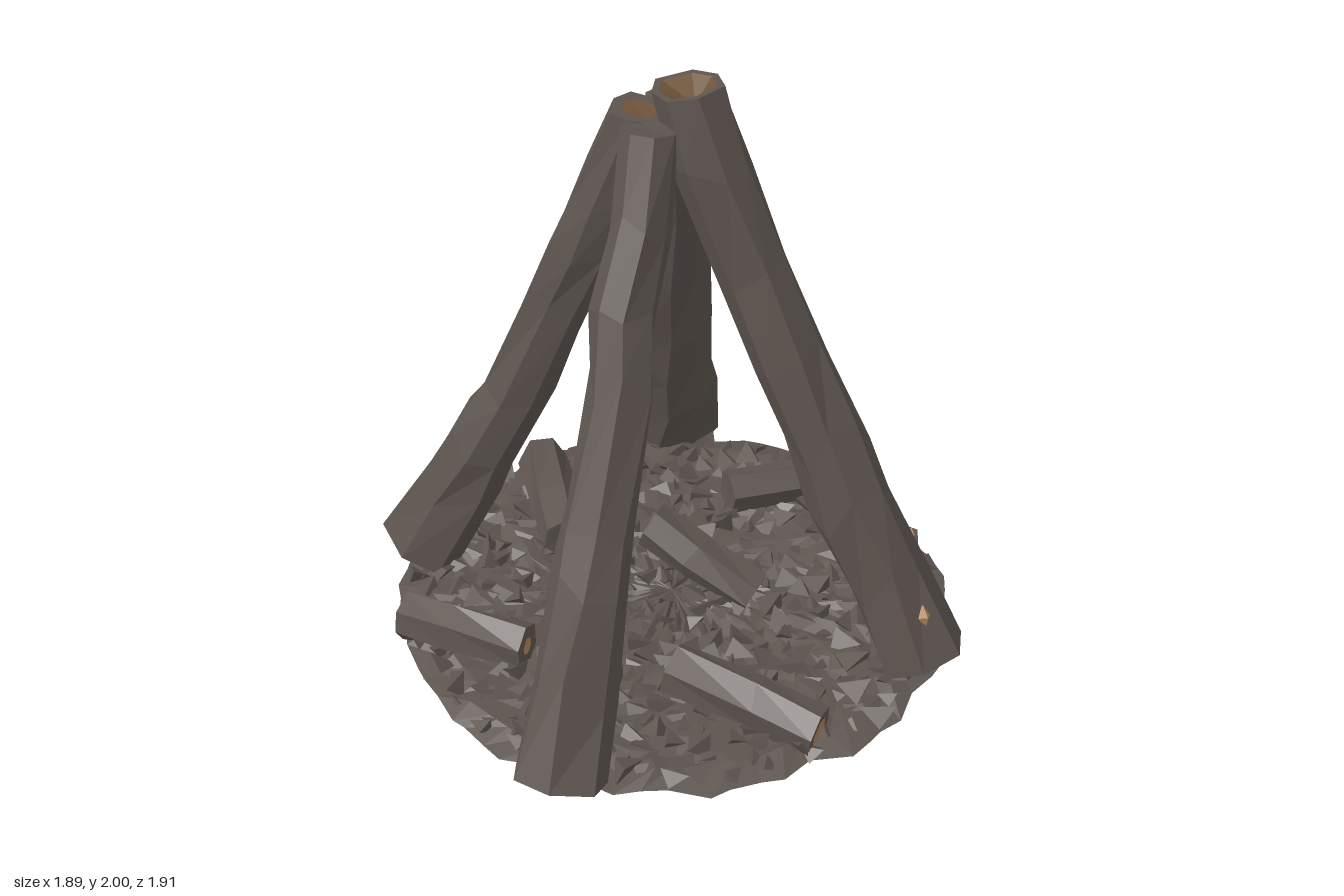
import * as THREE from 'three';
import { mergeGeometries } from 'three/addons/utils/BufferGeometryUtils.js';

const V = (a) => new THREE.Vector3(...a);

// Small seeded random generator
function makeRandom(seed) {
  let s = seed;
  return () => {
    s = (s * 16807) % 2147483647;
    return s / 2147483647;
  };
}

// Rough tapered log lofted from start to end.
// Group 0 is bark, group 1 the start cut, group 2 the end cut.
function logGeometry({ from, to, r0, r1, sides = 7, rings = 8, sag = 0, waist = 0, level = 0, rough = 0.08, pit = 0.004, rims, seed }) {
  const rnd = makeRandom(seed * 7919 + 13);
  const noise = (n) => (rnd() * 2 - 1) * n;
  noise(1);
  const a = V(from), b = V(to);
  const d = b.clone().sub(a).normalize();
  const u = new THREE.Vector3(0, 1, 0).cross(d).normalize();
  const v = d.clone().cross(u);
  const pull = new THREE.Vector3(-a.x, 0, -a.z).normalize().multiplyScalar(sag);
  const ridge = Array.from({ length: sides }, () => 1 + noise(rough));
  const turn = rnd() * 6;
  const pos = [], bark = [], cuts = [[], []];
  const push = (p) => pos.push(p.x, p.y, p.z) / 3 - 1;
  const centres = [];

  for (let i = 0; i < rings; i++) {
    const inner = i > 0 && i < rings - 1;
    const t = (i + (inner ? noise(0.2) : 0)) / (rings - 1);
    const bow = Math.sin(Math.PI * t);
    const c = a.clone().lerp(b, t).addScaledVector(pull, bow);
    if (inner) c.addScaledVector(u, noise(r0 * 0.08)).addScaledVector(v, noise(r0 * 0.08));
    centres.push(c);
    for (let j = 0; j < sides; j++) {
      const ang = turn + ((j + noise(0.1)) / sides) * Math.PI * 2 + t * 0.35;
      const r = THREE.MathUtils.lerp(r0, r1, t) * (1 - waist * bow) * (ridge[j] + noise(rough));
      const p = c.clone().addScaledVector(u, Math.cos(ang) * r).addScaledVector(v, Math.sin(ang) * r);
      if (inner) p.addScaledVector(d, noise(r0 * rough * 6));
      if (i === rings - 1) p.y += (c.y - p.y) * level;
      push(p);
    }
  }
  for (let i = 0; i < rings - 1; i++)
    for (let j = 0; j < sides; j++) {
      const k = (j + 1) % sides, o = i * sides, n = o + sides;
      bark.push(o + j, o + k, n + k, o + j, n + k, n + j);
    }
  // Cut ends: a bark rim around a wood fan, optionally hollowed
  [0, rings - 1].forEach((ring, e) => {
    const c = centres[ring], o = ring * sides;
    const rim = pos.length / 3;
    for (let j = 0; j < sides; j++) push(new THREE.Vector3().fromArray(pos, (o + j) * 3).lerp(c, rims[e]));
    const mid = push(c.clone().addScaledVector(d, e ? -pit : 0.004));
    for (let j = 0; j < sides; j++) {
      const k = (j + 1) % sides;
      const [p, q] = e ? [j, k] : [k, j];
      bark.push(o + p, o + q, rim + q, o + p, rim + q, rim + p);
      cuts[e].push(mid, rim + p, rim + q);
    }
  });
  const g = new THREE.BufferGeometry();
  g.setAttribute('position', new THREE.Float32BufferAttribute(pos, 3));
  g.setIndex([...bark, ...cuts[0], ...cuts[1]]);
  g.addGroup(0, bark.length, 0);
  g.addGroup(bark.length, cuts[0].length, 1);
  g.addGroup(bark.length + cuts[0].length, cuts[1].length, 2);
  g.computeVertexNormals();
  return g;
}

// Thin ragged bed with a bumpy top and a flat underside
function bedGeometry() {
  const rnd = makeRandom(4242), seg = 64, rings = 13;
  const pos = [0, 0.06, 0], idx = [];
  const edge = Array.from({ length: seg }, () => 0.9 + rnd() * 0.06);
  for (let i = 1; i <= rings; i++)
    for (let j = 0; j < seg; j++) {
      const last = i === rings;
      const ang = ((j + (rnd() - 0.5) * 0.7) / seg) * Math.PI * 2;
      const r = last ? edge[j] : ((i + (rnd() - 0.5) * 0.6) / rings) * 0.92;
      pos.push(Math.cos(ang) * r, last ? 0.036 : 0.04 + rnd() * 0.03, Math.sin(ang) * r);
    }
  const under = pos.length / 3;
  pos.push(0, 0.03, 0);
  const at = (i, j) => 1 + (i - 1) * seg + (j % seg);
  for (let j = 0; j < seg; j++) {
    idx.push(0, at(1, j + 1), at(1, j), under, at(rings, j), at(rings, j + 1));
    for (let i = 1; i < rings; i++)
      idx.push(at(i, j), at(i, j + 1), at(i + 1, j + 1), at(i, j), at(i + 1, j + 1), at(i + 1, j));
  }
  const g = new THREE.BufferGeometry();
  g.setAttribute('position', new THREE.Float32BufferAttribute(pos, 3));
  g.setIndex(idx);
  g.computeVertexNormals();
  return g;
}

// Evenly scattered splinters, each resting in the bed, merged into one geometry
function shardsGeometry(count) {
  const rnd = makeRandom(977), list = [];
  for (let i = 0; i < count; i++) {
    const g = new THREE.TetrahedronGeometry(0.03 + rnd() * 0.032);
    g.rotateX(rnd() * 6.28).rotateY(rnd() * 6.28);
    g.scale(1 + rnd() * 0.5, 0.55 + rnd() * 0.3, 0.7 + rnd() * 0.5);
    g.rotateY(rnd() * 6.28);
    g.computeBoundingBox();
    const ang = i * 2.39996 + rnd() * 0.1, r = Math.sqrt((i + rnd()) / count) * 0.9;
    g.translate(Math.cos(ang) * r, 0.036 - g.boundingBox.min.y, Math.sin(ang) * r);
    list.push(g);
  }
  return mergeGeometries(list);
}

export function createModel() {
  const model = new THREE.Group();
  const material = (name, color) => {
    const m = new THREE.MeshStandardMaterial({ color, flatShading: true });
    m.name = name;
    return m;
  };
  const bark = material('charred bark', 0x5e5550);
  const wood = material('cut wood', 0xb08258);
  const heart = material('aged heartwood', 0x8f6c48);
  const scorched = material('scorched heartwood', 0x70543a);
  const add = (name, geometry, mat) => {
    const mesh = new THREE.Mesh(geometry, mat);
    mesh.name = name;
    model.add(mesh);
    return mesh;
  };

  // Ash bed and splinters
  add('ashBed', bedGeometry(), bark);
  add('splinters', shardsGeometry(480), bark);

  // Four tall logs leaning together: ends, radii, inward sag, cut materials, rims, hollow
  const tall = [
    ['frontRightLog', [-0.75, 0.1, 0.64], [-0.11, 1.9, 0.07], 0.155, 0.09, 0.045, bark, bark, 0.15, 0.004],
    ['frontLeftLog', [0.55, 0.1, 0.71], [0.035, 1.985, 0.03], 0.15, 0.12, 0.035, bark, scorched, 0.2, 0.06],
    ['backLeftLog', [0.47, 0.1, -0.83], [0.06, 1.9, -0.08], 0.15, 0.09, 0.055, heart, bark, 0.15, 0.004],
    ['backRightLog', [-0.65, 0.1, -0.63], [-0.08, 1.9, -0.06], 0.15, 0.095, 0.045, bark, scorched, 0.4, 0.004],
  ];
  tall.forEach(([name, from, to, r0, r1, sag, start, end, rim, pit], i) => {
    add(name, logGeometry({ from, to, r0, r1, sag, waist: 0.1, level: 0.7, rims: [0.08, rim], pit, seed: i + 3 }), [bark, start, end]);
  });

  // Short logs lying on the bed; the last pair is the bark rim at each cut
  const short = [
    ['frontShortLog', [-0.235, 0.15, 0.43], [0.06, 0.085, 0.85], 0.09, wood, wood, [0.15, 0.4]],
    ['backShortLog', [-0.1, 0.125, -0.83], [-0.23, 0.13, -0.35], 0.095, bark, bark, [0.15, 0.15]],
    ['leftShortLog', [0.4, 0.125, -0.31], [0.9, 0.1, -0.22], 0.08, bark, wood, [0.15, 0.25]],
    ['rightShortLog', [-0.88, 0.12, -0.26], [-0.59, 0.12, 0.08], 0.085, wood, wood, [0.4, 0.6]],
    ['centreShortLog', [-0.01, 0.27, -0.13], [0.22, 0.1, 0.19], 0.085, wood, bark, [0.2, 0.15]],
  ];
  short.forEach(([name, from, to, r, start, end, rims], i) => {
    add(name, logGeometry({ from, to, r0: r, r1: r * 0.95, sides: 6, rings: 3, rough: 0.04, rims, seed: i + 20 }), [bark, start, end]);
  });

  // Bare wood chips: two loose on the bed, one flat scar on the front left log
  [
    ['looseChip1', [0.8, 0.1, 0.19], 0.055, [0.5, 0.7, 0.8], 0],
    ['looseChip2', [0.88, 0.09, 0.17], 0.03, [0.5, 0.8, 0.7], 0],
    ['barkScar', [0.51, 0.3, 0.748], 0.07, [0.5, 0.8, 0.4], -0.34],
  ].forEach(([name, at, r, scale, tilt]) => {
    const chip = add(name, new THREE.OctahedronGeometry(r), wood);
    chip.position.set(...at);
    chip.scale.set(...scale);
    chip.rotation.x = tilt;
  });

  return model;
}
